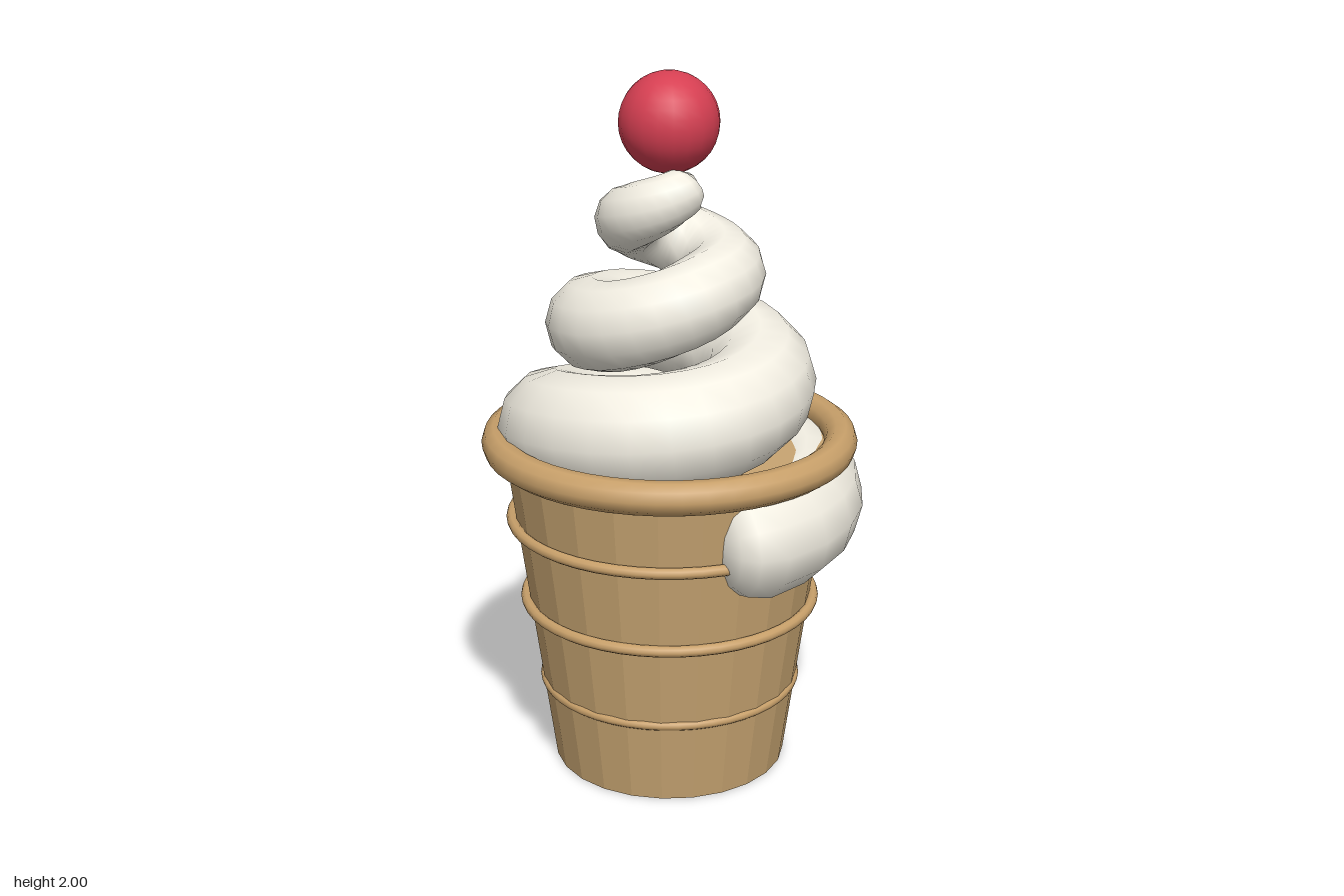
import * as THREE from 'three';

const paint = (color, extra = {}) =>
  new THREE.MeshStandardMaterial({ color, ...extra });

function add(group, name, geometry, material, y) {
  const mesh = new THREE.Mesh(geometry, material);
  mesh.name = name;
  mesh.position.y = y;
  group.add(mesh);
  return mesh;
}

// Swirl stations, one per quarter turn: [outer radius, height, tube radius]
const STATIONS = [
  [0.565, 0.79, 0.165], [0.535, 0.83, 0.16], [0.5, 0.94, 0.16], [0.47, 1.05, 0.165],
  [0.43, 1.11, 0.16], [0.39, 1.19, 0.15], [0.36, 1.27, 0.14], [0.33, 1.33, 0.125],
  [0.285, 1.43, 0.115], [0.245, 1.48, 0.108], [0.225, 1.56, 0.1], [0.18, 1.63, 0.085],
  [0.14, 1.70, 0.065],
];

// Tapered tube wound along the stations, with rounded ends
function swirlGeometry() {
  const steps = 76, sides = 12;
  const start = -0.4, end = 6 * Math.PI + 0.08;
  const curve = new THREE.CatmullRomCurve3(STATIONS.map((s) => new THREE.Vector3(...s)));
  const last = STATIONS.length - 1;
  const station = (a) =>
    curve.getPoint(THREE.MathUtils.clamp(a / (Math.PI / 2) / last, 0, 1));
  const centre = (a) => {
    const s = station(a), r = s.x - s.z;
    return new THREE.Vector3(r * Math.cos(a), s.y, -r * Math.sin(a));
  };

  // Ring list: angle and radius scale, closing to a point at each end
  const rings = [[start, 0.001], [start + 0.015, 0.4], [start + 0.06, 0.7], [start + 0.14, 0.9]];
  for (let i = 0; i <= steps; i++) {
    rings.push([THREE.MathUtils.lerp(start + 0.28, end - 0.3, i / steps), 1]);
  }
  rings.push([end - 0.12, 0.85], [end - 0.03, 0.55], [end, 0.001]);

  const positions = [], index = [];
  rings.forEach(([a, scale], i) => {
    const c = centre(a), radius = station(a).z * scale;
    const tangent = centre(a + 0.02).sub(centre(a - 0.02)).normalize();
    const out = new THREE.Vector3(Math.cos(a), 0, -Math.sin(a));
    out.addScaledVector(tangent, -out.dot(tangent)).normalize();
    const up = new THREE.Vector3().crossVectors(out, tangent);
    for (let j = 0; j < sides; j++) {
      const t = (j / sides) * Math.PI * 2;
      const p = c.clone()
        .addScaledVector(out, Math.cos(t) * radius)
        .addScaledVector(up, Math.sin(t) * radius);
      positions.push(p.x, p.y, p.z);
      if (i > 0) {
        const k = (j + 1) % sides, p0 = (i - 1) * sides, p1 = i * sides;
        index.push(p0 + j, p0 + k, p1 + j, p0 + k, p1 + k, p1 + j);
      }
    }
  });
  const geometry = new THREE.BufferGeometry();
  geometry.setAttribute('position', new THREE.Float32BufferAttribute(positions, 3));
  geometry.setIndex(index);
  geometry.computeVertexNormals();
  return geometry;
}

export function createModel() {
  const model = new THREE.Group();
  model.name = 'iceCreamCone';
  const wafer = paint(0xc8a572, { flatShading: true });
  const waferSmooth = paint(0xc8a06a);
  const cream = paint(0xf2eee2, { side: THREE.DoubleSide });
  const red = paint(0xd63f52);

  // Tapered wafer cup
  add(model, 'cup', new THREE.CylinderGeometry(0.468, 0.335, 0.96, 24), wafer, 0.48);

  // Thick rim and the thin bands below it: [name, y, ring radius, tube radius]
  for (const [name, y, radius, tube] of [
    ['rim', 0.968, 0.482, 0.047],
    ['upperBand', 0.74, 0.449, 0.016],
    ['middleBand', 0.495, 0.413, 0.016],
    ['lowerBand', 0.245, 0.363, 0.014],
  ]) {
    const ring = new THREE.TorusGeometry(radius, tube, 10, 48).rotateX(Math.PI / 2);
    add(model, name, ring, waferSmooth, y);
  }

  // Soft cream swirl spilling over the rim
  add(model, 'creamSwirl', swirlGeometry(), cream, 0);

  // Cherry on top
  add(model, 'cherry', new THREE.SphereGeometry(0.138, 20, 16), red, 1.862);

  // The cup sits a little off centre because of the overhanging cream
  for (const part of model.children) part.position.x = -0.02;
  return model;
}
